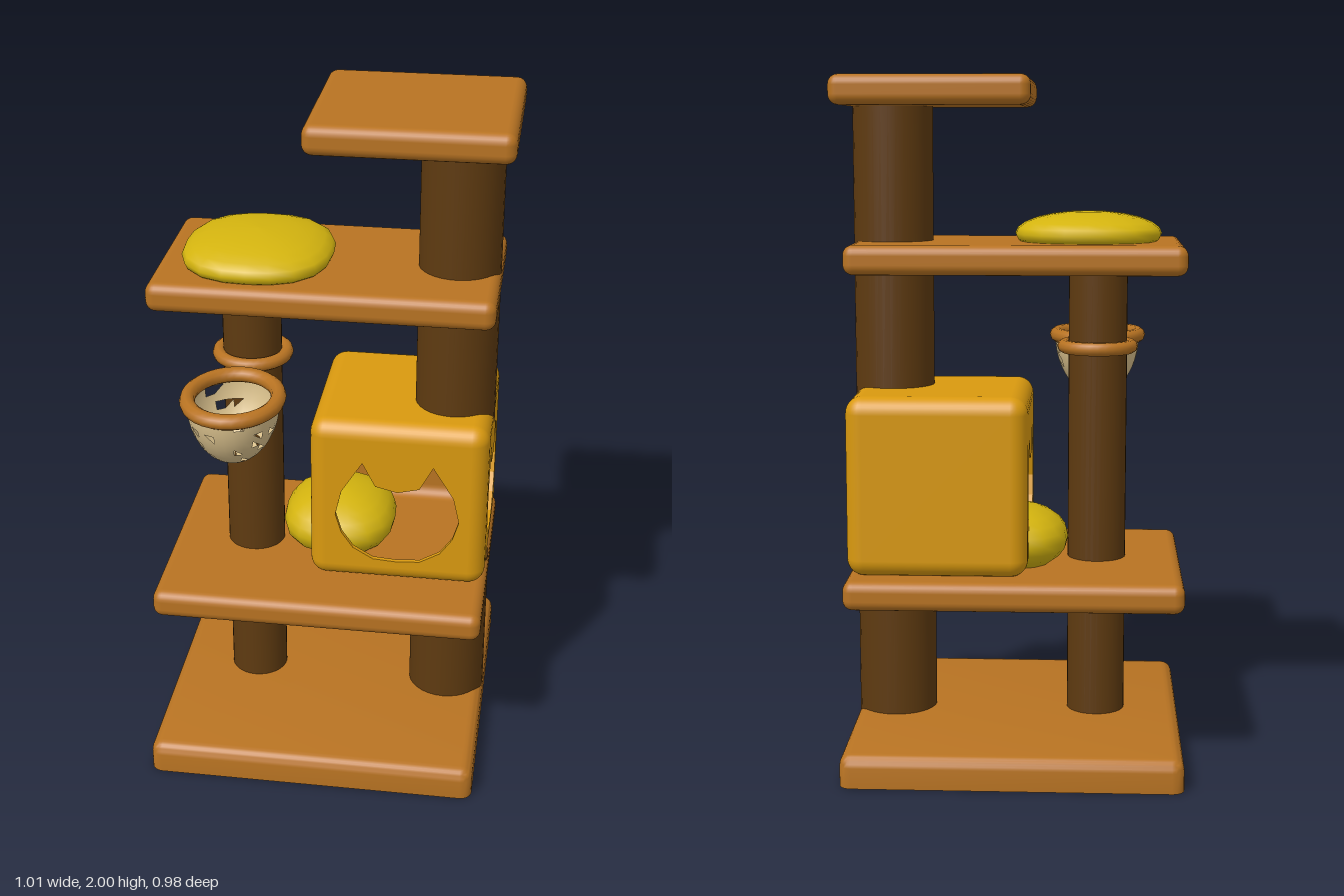
import * as THREE from 'three';
import { toCreasedNormals, mergeGeometries } from 'three/addons/utils/BufferGeometryUtils.js';
import { RoundedBoxGeometry } from 'three/addons/geometries/RoundedBoxGeometry.js';

const mat = (name, color, side = THREE.FrontSide) => {
  const m = new THREE.MeshStandardMaterial({ color, side });
  m.name = name;
  return m;
};

export function createModel() {
  const model = new THREE.Group();
  const wood = mat('wood', 0xb87322);
  const bark = mat('dark post', 0x5e3a10);
  const plush = mat('house plush', 0xd9990f);
  const pillow = mat('cushion yellow', 0xd4b40f);
  const net = mat('basket cream', 0xd9c08c, THREE.DoubleSide);

  const add = (name, geometry, material, x = 0, y = 0, z = 0) => {
    const mesh = new THREE.Mesh(geometry, material);
    mesh.name = name;
    mesh.position.set(x, y, z);
    model.add(mesh);
    return mesh;
  };

  // Base: rounded on top, square underneath
  const base = new RoundedBoxGeometry(0.98, 0.145, 0.98, 3, 0.035);
  base.translate(0, 0.0225, 0);
  const bp = base.attributes.position;
  for (let i = 0; i < bp.count; i++) bp.setY(i, Math.max(0, bp.getY(i)));
  add('base', toCreasedNormals(base, 0.6), wood, -0.02);

  // Shelves: x centre, y centre, width, depth
  const shelves = [
    ['lowerShelf', -0.02, 0.5275, 0.98, 0.755],
    ['upperShelf', -0.02, 1.48, 0.98, 0.55],
    ['topShelf', 0.22, 1.957, 0.57, 0.55],
  ];
  for (const [name, x, y, w, d] of shelves) {
    add(name, new RoundedBoxGeometry(w, 0.086, d, 3, 0.03), wood, x, y);
  }

  // Posts: x, radius, bottom, top
  const posts = [
    ['thickPostLower', 0.35, 0.118, 0.002, 0.565],
    ['thickPostUpper', 0.35, 0.118, 1.03, 1.95],
    ['thinPost', -0.257, 0.087, 0.002, 1.48],
  ];
  for (const [name, x, r, y0, y1] of posts) {
    add(name, new THREE.CylinderGeometry(r, r, y1 - y0, 32), bark, x, (y0 + y1) / 2);
  }

  // House: rounded shell with eared openings in the front and both sides
  const SIZE = 0.525, ROUND = 0.05, WALL = 0.014;
  const half = [[0, -0.19], [0.07, -0.185], [0.13, -0.15], [0.165, -0.1], [0.183, -0.04],
    [0.165, 0.04], [0.104, 0.138], [0.065, 0.064], [0, 0.048]];
  const outline = [...half, ...half.slice(1, -1).reverse().map(([x, y]) => [-x, y])];

  const panelShape = (h) => {
    const s = new THREE.Shape([[-h, -h], [h, -h], [h, h], [-h, h]].map((p) => new THREE.Vector2(...p)));
    s.holes.push(new THREE.Path(outline.map((p) => new THREE.Vector2(...p)).reverse()));
    return s;
  };

  // Rounded cube with the flat panels removed where openings go
  const openShell = (size, r) => {
    const g = new RoundedBoxGeometry(size, size, size, 4, r);
    const p = g.attributes.position, n = g.attributes.normal;
    const pos = [], nor = [];
    for (let i = 0; i < p.count; i += 3) {
      const tri = [i, i + 1, i + 2];
      const isOpen = tri.every((k) => n.getZ(k) > 0.999) || tri.every((k) => Math.abs(n.getX(k)) > 0.999);
      if (isOpen) continue;
      for (const k of tri) {
        pos.push(p.getX(k), p.getY(k), p.getZ(k));
        nor.push(n.getX(k), n.getY(k), n.getZ(k));
      }
    }
    const out = new THREE.BufferGeometry();
    out.setAttribute('position', new THREE.Float32BufferAttribute(pos, 3));
    out.setAttribute('normal', new THREE.Float32BufferAttribute(nor, 3));
    return out;
  };

  // Shell plus pierced panels; depth 0 gives flat panels
  const houseSkin = (size, r, depth) => {
    const shape = panelShape(size / 2 - r);
    const parts = [openShell(size, r)];
    for (const turn of [0, Math.PI / 2, -Math.PI / 2]) {
      const flat = depth > 0
        ? new THREE.ExtrudeGeometry(shape, { depth, bevelEnabled: false })
        : new THREE.ShapeGeometry(shape);
      const g = flat.index ? flat.toNonIndexed() : flat;
      g.deleteAttribute('uv');
      g.clearGroups();
      g.translate(0, 0, size / 2 - depth);
      g.rotateY(turn);
      parts.push(g);
    }
    return mergeGeometries(parts);
  };

  // Turn a non-indexed geometry inside out
  const insideOut = (g) => {
    for (const a of [g.attributes.position, g.attributes.normal]) {
      const s = a === g.attributes.normal ? -1 : 1;
      for (let i = 0; i < a.count; i += 3) {
        const v = [0, 2, 1].map((k) => new THREE.Vector3().fromBufferAttribute(a, i + k).multiplyScalar(s));
        v.forEach((q, k) => a.setXYZ(i + k, q.x, q.y, q.z));
      }
    }
    return g;
  };

  const house = [0.203, 0.831, -0.053];
  add('houseShell', houseSkin(SIZE, ROUND, WALL), plush, ...house);
  add('houseLining', insideOut(houseSkin(SIZE - 2 * WALL - 0.002, ROUND - 0.012, 0)), wood, ...house);

  // Cushions: sphere squared off in plan
  const cushion = (name, rx, ry, rz, x, y, z) => {
    const g = new THREE.SphereGeometry(1, 20, 12);
    const p = g.attributes.position;
    const e = 2.5;
    for (let i = 0; i < p.count; i++) {
      const a = p.getX(i), c = p.getZ(i);
      const len = Math.hypot(a, c);
      const k = len < 1e-4 ? 1 : len / (Math.abs(a) ** e + Math.abs(c) ** e) ** (1 / e);
      p.setXYZ(i, a * k * rx, p.getY(i) * ry, c * k * rz);
    }
    g.computeVertexNormals();
    return add(name, g, pillow, x, y, z);
  };
  cushion('shelfCushion', 0.217, 0.065, 0.227, -0.227, 1.545, 0.018);
  cushion('houseCushion', 0.172, 0.1, 0.19, 0, 0.642, -0.055);

  // Basket: net bowl with scattered gaps, rim, and a ring round the thin post
  const bowl = new THREE.SphereGeometry(1, 28, 12, 0, Math.PI * 2, Math.PI / 2, Math.PI / 2);
  let seed = 7;
  const random = () => (seed = (seed * 16807) % 2147483647) / 2147483647;
  const kept = [];
  for (let i = 0; i < bowl.index.count; i += 3) {
    if (random() > 0.1) for (let k = 0; k < 3; k++) kept.push(bowl.index.getX(i + k));
  }
  bowl.setIndex(kept);
  bowl.scale(0.132, 0.19, 0.155);
  add('basketNet', bowl, net, -0.255, 1.207, 0.31);

  const ring = (name, rx, rz, tube, z) => {
    const g = new THREE.TorusGeometry(rx, tube, 10, 32);
    g.rotateX(Math.PI / 2);
    g.scale(1, 1, (rz + tube) / (rx + tube));
    add(name, g, wood, -0.256, 1.21, z);
  };
  ring('basketRim', 0.128, 0.153, 0.022, 0.31);
  ring('postRing', 0.1, 0.1, 0.02, 0);

  return model;
}
